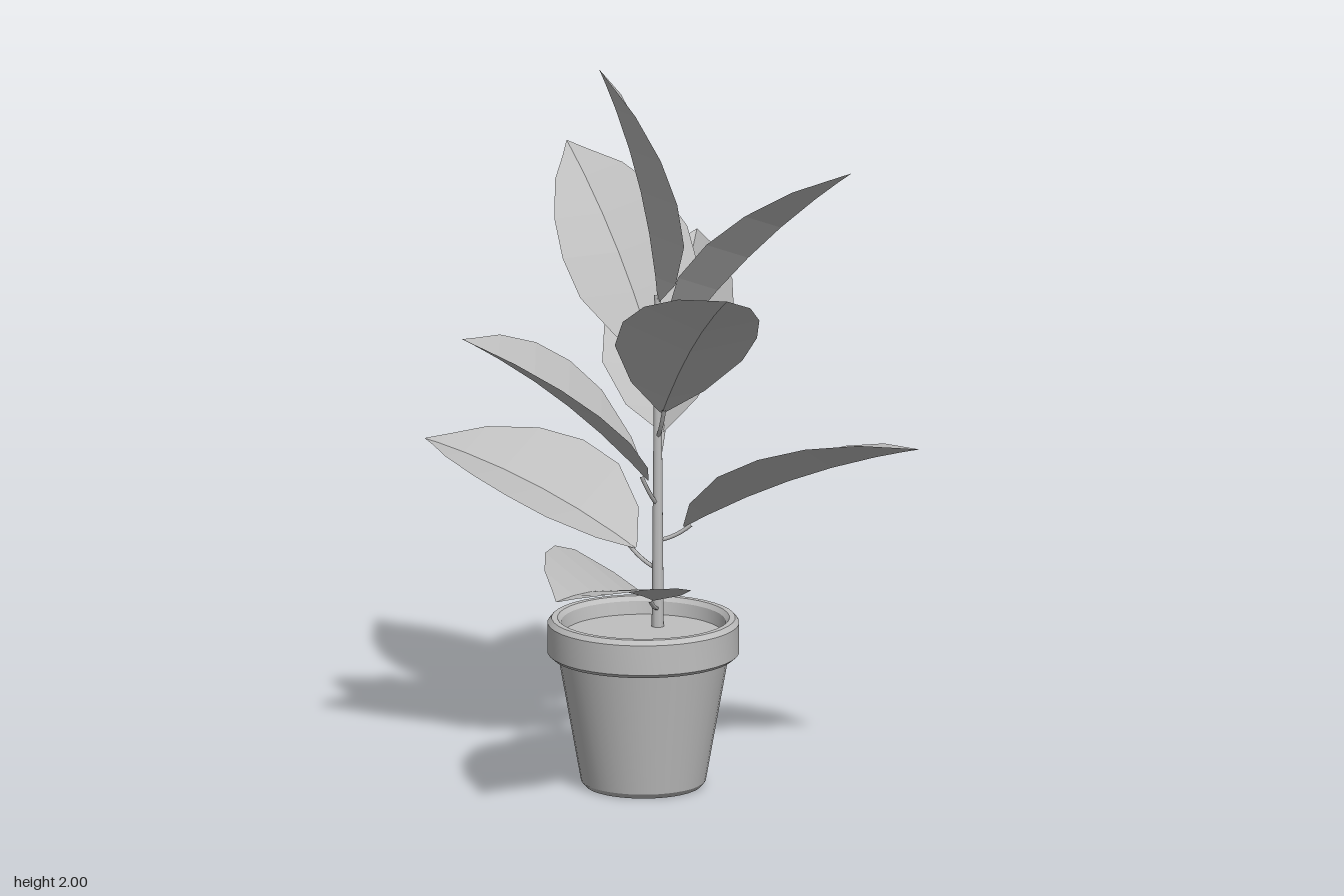
import * as THREE from 'three';
import { toCreasedNormals } from 'three/addons/utils/BufferGeometryUtils.js';

const V = (x, y, z) => new THREE.Vector3(x, y, z);
const STEM_Z = -0.1;

// Half-width of a leaf along its length: [t, half width]
const PROFILE = [[0, 0.008], [0.1, 0.11], [0.28, 0.19], [0.46, 0.2], [0.64, 0.172], [0.82, 0.108], [0.93, 0.04], [1, 0]];

// Leaf blade folded into a V along the midrib, rolled a little and arched
function leafGeometry(base, tip, { roll = 0.22, fold = 0.34, arch = 0.03 } = {}) {
  const dir = tip.clone().sub(base).normalize();
  const side = dir.clone().cross(V(0, 1, 0)).normalize();
  const normal = side.clone().cross(dir);
  side.applyAxisAngle(dir, -roll);
  const up = side.clone().cross(dir);
  const pos = [], idx = [];
  PROFILE.forEach(([t, w], i) => {
    const mid = base.clone().lerp(tip, t).addScaledVector(normal, arch * 4 * t * (1 - t));
    for (const s of [-1, 0, 1]) {
      const p = mid.clone()
        .addScaledVector(side, s * w * Math.cos(fold))
        .addScaledVector(up, Math.abs(s) * w * Math.sin(fold));
      pos.push(p.x, p.y, p.z);
    }
    if (i === 0) return;
    for (let k = 0; k < 2; k++) {
      const a = (i - 1) * 3 + k, b = a + 1, c = a + 3, d = a + 4;
      idx.push(a, b, d, a, d, c);
    }
  });
  const g = new THREE.BufferGeometry();
  g.setAttribute('position', new THREE.Float32BufferAttribute(pos, 3));
  g.setIndex(idx);
  g.computeVertexNormals();
  return g;
}

export function createModel() {
  const root = new THREE.Group();
  root.name = 'pottedPlant';
  const clay = new THREE.MeshStandardMaterial({ color: 0xbfbfbf });
  clay.name = 'plain grey';
  const leafMat = new THREE.MeshStandardMaterial({ color: 0xbfbfbf, side: THREE.DoubleSide, flatShading: true });
  leafMat.name = 'leaf grey';

  const add = (parent, name, geometry, material) => {
    const m = new THREE.Mesh(geometry, material);
    m.name = name;
    parent.add(m);
    return m;
  };

  // Tapered pot with a thick collar and an open top
  const potProfile = [
    [0, 0], [0.158, 0], [0.17, 0.014], [0.232, 0.362], [0.25, 0.362], [0.261, 0.372],
    [0.261, 0.455], [0.25, 0.468], [0.234, 0.468], [0.224, 0.456], [0.215, 0.39],
  ].map(([r, y]) => new THREE.Vector2(r, y));
  add(root, 'pot', toCreasedNormals(new THREE.LatheGeometry(potProfile, 40), 0.5), clay);

  // Soil disc inside the collar
  const soil = add(root, 'soil', new THREE.CircleGeometry(0.222, 40), clay);
  soil.rotation.x = -Math.PI / 2;
  soil.position.y = 0.42;

  // Upright stem
  const stem = add(root, 'stem', new THREE.CylinderGeometry(0.009, 0.018, 0.94, 8), clay);
  stem.position.set(0, 0.87, STEM_Z);

  // Leaves: blade base, tip and height where the stalk leaves the stem
  const leaves = [
    [V(0.015, 0.51, -0.03), V(0.02, 0.67, 0.66), 0.47],
    [V(-0.07, 0.63, -0.11), V(-0.73, 0.85, -0.2), 0.58],
    [V(0.07, 0.7, -0.12), V(0.73, 0.965, -0.2), 0.66],
    [V(-0.01, 0.84, -0.05), V(-0.4, 1.285, 0.32), 0.76],
    [V(-0.01, 0.95, -0.16), V(-0.12, 1.39, -0.66), 0.88],
    [V(0.03, 1.03, -0.06), V(0.39, 1.475, 0.34), 0.95],
    [V(-0.02, 1.17, -0.12), V(-0.37, 1.69, -0.34), 1.08],
    [V(0.04, 1.21, -0.12), V(0.53, 1.72, -0.2), 1.14],
    [V(0, 1.33, -0.1), V(-0.12, 2, 0.025), 1.27],
  ];
  leaves.forEach(([base, tip, y], i) => {
    const leaf = new THREE.Group();
    leaf.name = `leaf${i + 1}`;
    root.add(leaf);
    add(leaf, 'blade', leafGeometry(base, tip), leafMat);
    // Thin stalk running from the stem into the blade
    const end = base.clone().lerp(tip, 0.03);
    const bend = V(base.x * 0.7, (y + base.y) / 2 - 0.01, STEM_Z + (base.z - STEM_Z) * 0.7);
    const path = new THREE.QuadraticBezierCurve3(V(0, y, STEM_Z), bend, end);
    add(leaf, 'stalk', new THREE.TubeGeometry(path, 6, 0.006, 5), clay);
  });
  return root;
}
